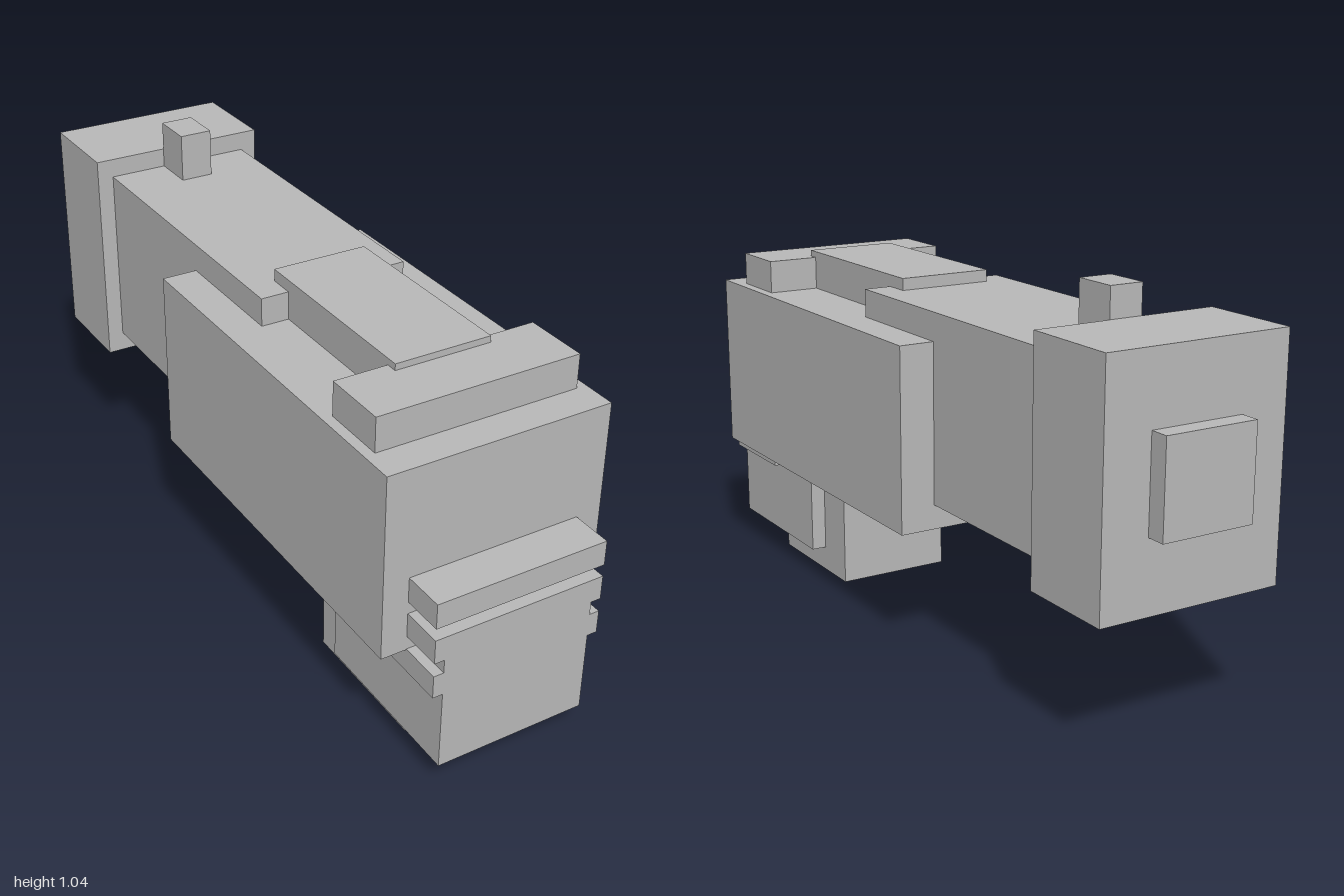
import * as THREE from 'three';

export function createModel() {
  const model = new THREE.Group();
  model.name = 'model';
  const grey = new THREE.MeshStandardMaterial({ color: 0xb8b8b8 });
  grey.name = 'plain grey';

  // Box centred on x, given its width and its y and z ranges
  function block(name, width, y0, y1, z0, z1) {
    const mesh = new THREE.Mesh(new THREE.BoxGeometry(width, y1 - y0, z1 - z0), grey);
    mesh.name = name;
    mesh.position.set(0, (y0 + y1) / 2, (z0 + z1) / 2);
    model.add(mesh);
  }

  // Main body and the narrower beam running back from it
  block('mainBody', 0.6, 0.345, 0.835, -0.175, 0.89);
  block('rearBeam', 0.41, 0.41, 0.91, -0.69, 0.18);

  // Raised parts on top
  block('frontTopStrip', 0.545, 0.835, 0.925, 0.625, 0.8);
  block('topPlate', 0.26, 0.835, 0.942, 0.11, 0.655);
  block('rearPost', 0.09, 0.91, 1.04, -0.685, -0.565);

  // Rear end block with its small back plate
  block('endBlock', 0.5, 0.355, 0.962, -0.95, -0.685);
  block('backPlate', 0.25, 0.54, 0.78, -1, -0.95);

  // Front slats
  block('upperSlat', 0.464, 0.48, 0.547, 0.89, 1);
  block('middleSlat', 0.464, 0.383, 0.448, 0.89, 1);
  block('lowerSlat', 0.464, 0.285, 0.347, 0.73, 1);

  // Lower housing and the foot behind it
  block('lowerHousing', 0.41, 0.07, 0.383, 0.54, 1);
  block('foot', 0.326, 0, 0.345, 0.415, 0.8);

  return model;
}
